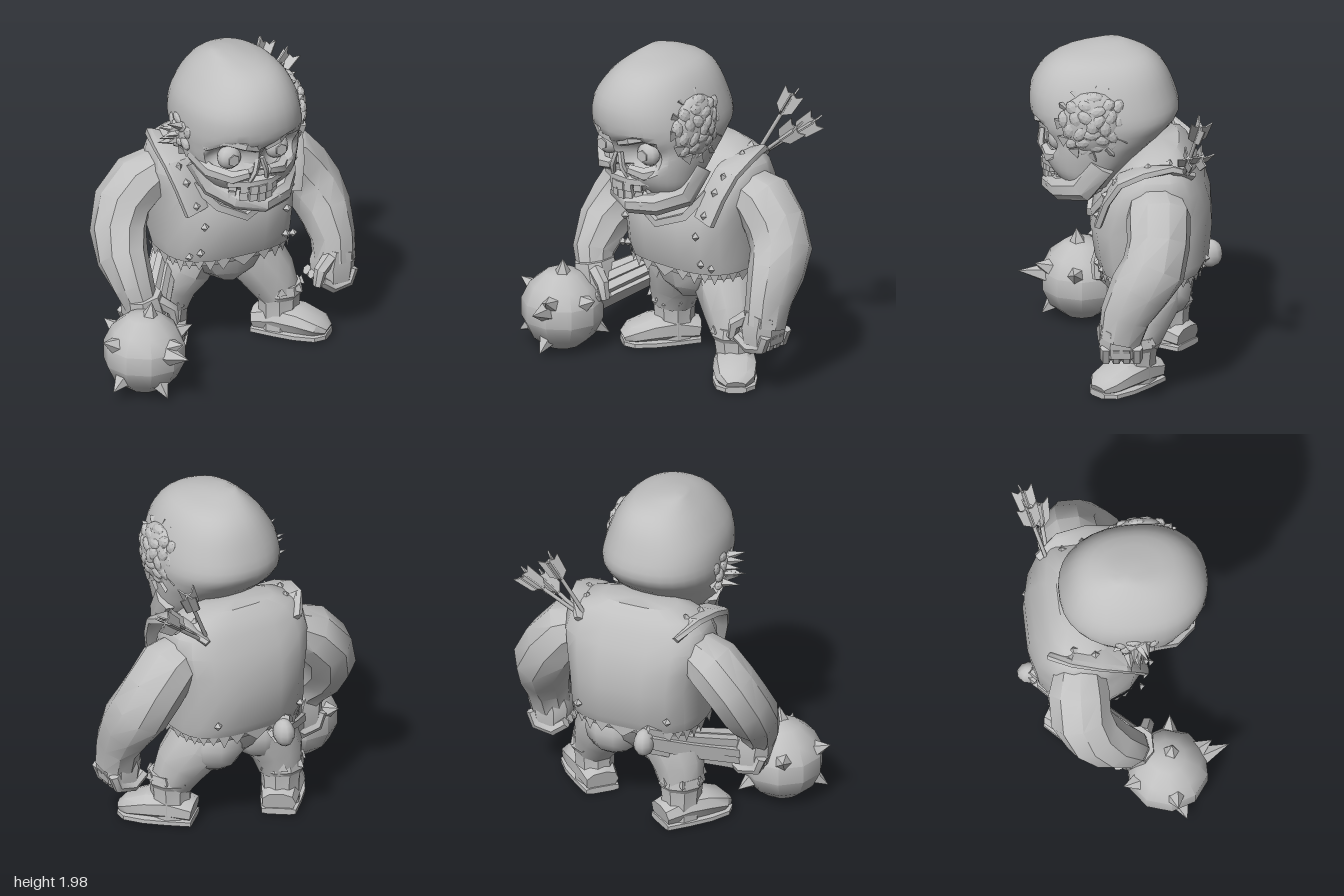
import * as THREE from 'three';
import { toCreasedNormals } from 'three/addons/utils/BufferGeometryUtils.js';

const V = (x, y, z) => new THREE.Vector3(x, y, z);
const UP = V(0, 1, 0);
const grey = new THREE.MeshStandardMaterial({ color: 0xc0c0c0, side: THREE.DoubleSide });
grey.name = 'clay grey';

let seed = 7;
const rnd = () => (seed = (seed * 16807) % 2147483647) / 2147483647;

// Closed skin over cross-sections [x, y, z, halfWidth, halfDepth]
function loft(rows, { sides = 9, ref = V(0, 0, 1), axis = null, pow = 1, warp = null, crease = 0.65 } = {}) {
  const pos = [], idx = [], n = rows.length;
  const c = rows.map(r => V(r[0], r[1], r[2]));
  const bend = s => Math.sign(s) * Math.abs(s) ** pow;
  rows.forEach((r, i) => {
    const t = axis || c[Math.min(i + 1, n - 1)].clone().sub(c[Math.max(i - 1, 0)]).normalize();
    const v = ref.clone().addScaledVector(t, -ref.dot(t)).normalize();
    const u = v.clone().cross(t);
    for (let j = 0; j < sides; j++) {
      const a = (j + 0.5) / sides * Math.PI * 2;
      const p = c[i].clone().addScaledVector(u, r[3] * bend(Math.cos(a))).addScaledVector(v, r[4] * bend(Math.sin(a)));
      if (warp) warp(p);
      pos.push(p.x, p.y, p.z);
    }
  });
  pos.push(...c[0].toArray(), ...c[n - 1].toArray());
  for (let j = 0; j < sides; j++) {
    const k = (j + 1) % sides, e = (n - 1) * sides;
    for (let i = 0; i < n - 1; i++) {
      const a = i * sides + j, b = i * sides + k;
      idx.push(a, b, b + sides, a, b + sides, a + sides);
    }
    idx.push(n * sides, k, j, n * sides + 1, e + j, e + k);
  }
  const g = new THREE.BufferGeometry();
  g.setAttribute('position', new THREE.Float32BufferAttribute(pos, 3));
  g.setIndex(idx);
  return toCreasedNormals(g, crease);
}

// Rows [y, x0, x1, zBack, zFront] to horizontal cross-sections
const slabs = rows => rows.map(([y, x0, x1, z0, z1]) => [(x0 + x1) / 2, y, (z0 + z1) / 2, (x1 - x0) / 2, (z1 - z0) / 2]);
// Resample rows along smooth splines
function resample(rows, n) {
  const curves = rows[0].map((_, k) => new THREE.SplineCurve(rows.map((r, i) => new THREE.Vector2(i, r[k]))));
  return Array.from({ length: n }, (_, i) => curves.map(s => s.getPoint(i / (n - 1)).y));
}

export function createModel() {
  const model = new THREE.Group();
  const add = (name, geo, parent = model) => {
    const m = new THREE.Mesh(geo, grey);
    m.name = name;
    parent.add(m);
    return m;
  };
  const group = name => { const g = new THREE.Group(); g.name = name; model.add(g); return g; };
  const blob = (name, x, y, z, sx, sy, sz, parent) => {
    const m = add(name, new THREE.SphereGeometry(1, 10, 8), parent);
    m.position.set(x, y, z); m.scale.set(sx, sy, sz);
  };
  // Cone with its base at p, pointing along d
  const spike = (name, p, d, r, h, parent, sides = 5) => {
    const g = new THREE.ConeGeometry(r, h, sides).translate(0, h / 2, 0).toNonIndexed();
    g.computeVertexNormals();
    const m = add(name, g, parent);
    m.position.copy(p);
    m.quaternion.setFromUnitVectors(UP, d.clone().normalize());
  };

  // Skull with carved sockets and nose hole
  const head = group('head');
  const skullRows = [
    [1.18, -0.12, 0.32, 0.04, 0.33], [1.26, -0.18, 0.36, -0.02, 0.4], [1.33, -0.23, 0.38, -0.1, 0.44],
    [1.42, -0.27, 0.4, -0.18, 0.46], [1.5, -0.29, 0.41, -0.27, 0.48], [1.6, -0.3, 0.42, -0.34, 0.52],
    [1.74, -0.28, 0.39, -0.31, 0.52], [1.87, -0.2, 0.33, -0.25, 0.45], [1.95, -0.12, 0.24, -0.16, 0.33], [1.995, -0.06, 0.06, -0.02, 0.12]];
  const dents = [[-0.13, 1.46, 0.12, 0.13], [0.18, 1.46, 0.13, 0.13], [0.04, 1.33, 0.06, 0.09]];
  add('skull', loft(slabs(resample(skullRows, 28)), {
    sides: 32, axis: UP, pow: 0.88, crease: 0.8,
    warp: p => {
      if (p.z > 0.2) for (const [x, y, r, depth] of dents) p.z -= depth * Math.max(0, 1 - ((p.x - x) ** 2 + (p.y - y) ** 2) / (r * r));
    }
  }), head);
  for (const s of [-1, 1]) {
    const X = d => 0.035 + s * d;
    blob(s < 0 ? 'rightEye' : 'leftEye', X(0.155), 1.46, 0.36, 0.075, 0.072, 0.06, head);
    const iris = add('iris', new THREE.CylinderGeometry(0.036, 0.036, 0.009, 6).rotateX(Math.PI / 2), head);
    iris.position.set(X(0.155), 1.46, 0.421);
    add('brow', loft([[X(0.02), 1.53, 0.46, 0.03, 0.03], [X(0.1), 1.565, 0.465, 0.04, 0.035], [X(0.2), 1.59, 0.4, 0.035, 0.03], [X(0.28), 1.53, 0.29, 0.02, 0.03]], { sides: 6, ref: UP }), head);
    add('cheekbone', loft([[X(0.06), 1.36, 0.43, 0.03, 0.03], [X(0.15), 1.34, 0.4, 0.045, 0.04], [X(0.25), 1.37, 0.3, 0.04, 0.045], [X(0.29), 1.43, 0.15, 0.03, 0.04]], { sides: 6, ref: UP }), head);
    add('noseBone', loft([[X(0.012), 1.46, 0.45, 0.015, 0.02], [X(0.035), 1.38, 0.46, 0.016, 0.022], [X(0.055), 1.31, 0.43, 0.012, 0.015]], { sides: 5 }), head);
  }
  const jaw = [[-0.19, 1.36, 0.12, 0.06, 0.09], [-0.13, 1.22, 0.2, 0.07, 0.09], [-0.05, 1.165, 0.34, 0.06, 0.065], [0.09, 1.14, 0.4, 0.06, 0.06],
    [0.23, 1.155, 0.35, 0.06, 0.07], [0.32, 1.2, 0.22, 0.07, 0.09], [0.35, 1.36, 0.12, 0.06, 0.1]];
  add('jaw', loft(jaw, { sides: 8, ref: UP }), head);
  blob('chin', 0.12, 1.16, 0.25, 0.2, 0.075, 0.19, head);
  add('upperGum', loft([[-0.12, 1.285, 0.34, 0.04, 0.03], [0, 1.29, 0.41, 0.04, 0.035], [0.1, 1.29, 0.42, 0.04, 0.035], [0.23, 1.285, 0.34, 0.04, 0.03]], { sides: 6, ref: UP }), head);
  for (let i = 0; i < 7; i++) for (const [y, z] of [[1.25, 0.445], [1.2, 0.435]]) {
    const d = (i - 3) / 3;
    const tooth = add('tooth', new THREE.BoxGeometry(0.045, 0.04 + 0.015 * rnd(), 0.03), head);
    tooth.position.set(0.05 + d * 0.14, y + 0.008 * rnd(), z - 0.09 * d * d);
    tooth.rotation.set(0, d * 0.7, (rnd() - 0.5) * 0.2);
  }
  // Lumpy wounds: open brain on the left temple, torn ear on the right
  const wound = (g, s, x, y, z, r, count, lump) => {
    blob('woundBed', x - s * 0.06, y, z, 0.08, r, r, g);
    for (let i = 0; i < count; i++) {
      const a = i * 2.4, q = Math.sqrt(i / count) * r * 0.9;
      const m = add('fold', toCreasedNormals(new THREE.IcosahedronGeometry(lump, 1), 0.3), g);
      m.position.set(x - s * q * q * 2, y + Math.sin(a) * q, z + Math.cos(a) * q);
      m.rotation.set(a, 0, 0);
      m.scale.set(0.6, 1.1, 0.75);
    }
    for (let i = 0; i < 12; i++) {
      const a = i / 12 * Math.PI * 2, c = Math.cos(a), h = Math.sin(a);
      spike('tornEdge', V(x - s * (0.07 + 0.03 * h), y + h * r * 1.05, z + c * r * 1.05), V(s, -h * 0.9, -c * 0.9), 0.045, 0.06, g, 3);
    }
  };
  wound(group('brain'), 1, 0.425, 1.62, 0.16, 0.19, 24, 0.055);
  const ear = group('tornEar');
  wound(ear, -1, -0.3, 1.54, 0.08, 0.12, 10, 0.045);
  for (let i = 0; i < 7; i++)
    spike('earShred', V(-0.31, 1.47 + 0.022 * i, 0.02 + 0.12 * rnd()), V(-1, (rnd() - 0.2) * 0.9, rnd() - 0.5), 0.028, 0.08 + 0.05 * rnd(), ear, 4);

  // Neck, vest and pelvis
  add('neck', loft([[0.1, 1.12, -0.18, 0.24, 0.2], [0.09, 1.28, -0.06, 0.2, 0.17], [0.07, 1.42, 0.06, 0.17, 0.15]], { sides: 10 }));
  add('vest', loft(slabs([[0.64, -0.28, 0.49, -0.46, 0.11], [0.74, -0.3, 0.5, -0.515, 0.15], [0.94, -0.3, 0.51, -0.535, 0.18], [1.08, -0.32, 0.53, -0.525, 0.14],
    [1.2, -0.34, 0.55, -0.49, 0.08], [1.3, -0.32, 0.53, -0.44, 0.01], [1.37, -0.26, 0.46, -0.4, -0.05], [1.42, -0.13, 0.33, -0.34, -0.13]]), { sides: 16, axis: UP, pow: 0.68 }));
  const hem = [], hemN = 30;
  const hemPoint = (i, y, k) => {
    const a = i / hemN * Math.PI * 2, f = s => Math.sign(s) * Math.abs(s) ** 0.68;
    return [0.105 + 0.395 * k * f(Math.cos(a)), y, -0.175 + 0.305 * k * f(Math.sin(a))];
  };
  for (let i = 0; i < hemN; i++)
    hem.push(...hemPoint(i, 0.68, 1.01), ...hemPoint(i + 1, 0.68, 1.01), ...hemPoint(i + 0.5, 0.6 + 0.03 * rnd(), 0.99));
  const hemGeo = new THREE.BufferGeometry();
  hemGeo.setAttribute('position', new THREE.Float32BufferAttribute(hem, 3));
  hemGeo.computeVertexNormals();
  add('raggedHem', hemGeo);
  add('collar', loft([[-0.2, 1.18, 0.07, 0.02, 0.03], [-0.08, 1.04, 0.155, 0.02, 0.03], [0.09, 0.95, 0.18, 0.02, 0.03], [0.28, 1.03, 0.155, 0.02, 0.03], [0.38, 1.18, 0.07, 0.02, 0.03]], { sides: 4, ref: UP }));
  for (const s of [-1, 1]) {
    const X = d => 0.1 + s * d;
    const rows = [[X(0.3), 1.02, 0.12, 0.08, 0.025], [X(0.34), 1.18, 0.07, 0.085, 0.025], [X(0.37), 1.3, 0, 0.085, 0.025], [X(0.36), 1.35, -0.13, 0.09, 0.025], [X(0.34), 1.36, -0.28, 0.08, 0.025], [X(0.29), 1.28, -0.4, 0.06, 0.02]];
    add(s < 0 ? 'rightStrap' : 'leftStrap', loft(rows, { sides: 8, pow: 0.5, ref: V(0, 0.7, 0.7) }));
    for (const [x, y, z, dy, dz] of [[0.31, 1.06, 0.13, 0.2, 1], [0.35, 1.2, 0.085, 0.4, 1], [0.37, 1.29, 0.025, 0.7, 0.7], [0.35, 1.37, -0.16, 1, 0], [0.31, 1.38, -0.28, 1, -0.3], [0.27, 0.93, 0.16, 0, 1], [0.34, 0.73, 0.1, 0, 1], [0.28, 0.75, 0.125, 0, 1], [0.28, 0.78, -0.49, 0, -1]])
      spike('stud', V(X(x), y, z), V(0, dy, dz), 0.028, 0.03, model, 4);
    blob('buttock', X(0.15), 0.55, -0.25, 0.18, 0.18, 0.17);
  }
  add('pelvis', loft(slabs([[0.45, 0.03, 0.2, -0.3, -0.02], [0.52, -0.1, 0.32, -0.38, 0.04], [0.66, -0.25, 0.46, -0.44, 0.07]]), { sides: 10, axis: UP }));

  // Arms
  add('leftArm', loft([[0.42, 1.17, -0.2, 0.12, 0.15], [0.55, 1.11, -0.22, 0.17, 0.19], [0.65, 0.98, -0.22, 0.18, 0.185], [0.725, 0.85, -0.19, 0.175, 0.19],
    [0.755, 0.73, -0.11, 0.16, 0.18], [0.77, 0.58, -0.03, 0.13, 0.15], [0.765, 0.44, 0, 0.125, 0.13]]));
  add('rightArm', loft([[-0.23, 1.18, -0.25, 0.12, 0.14], [-0.37, 1.1, -0.27, 0.165, 0.18], [-0.48, 0.98, -0.27, 0.165, 0.18], [-0.54, 0.84, -0.21, 0.165, 0.17],
    [-0.565, 0.71, -0.11, 0.15, 0.16], [-0.55, 0.57, 0, 0.12, 0.13], [-0.52, 0.46, 0.03, 0.1, 0.1]]));
  const hand = (name, x, y, z, s) => {
    const g = group(name);
    add('palm', loft([[x + s * 0.02, y + 0.1, z, 0.11, 0.12], [x, y, z, 0.125, 0.13], [x, y - 0.09, z, 0.11, 0.12]], { sides: 8, pow: 0.8 }), g);
    for (let i = 0; i < 4; i++) {
      const f = z - 0.095 + i * 0.06;
      add('finger', loft([[x + s * 0.09, y - 0.02, f, 0.035, 0.035], [x + s * 0.06, y - 0.1, f, 0.038, 0.034], [x - s * 0.04, y - 0.12, f, 0.036, 0.033], [x - s * 0.12, y - 0.06, f + 0.01, 0.032, 0.032]], { sides: 6 }), g);
    }
    add('thumb', loft([[x - s * 0.05, y + 0.07, z + 0.07, 0.045, 0.045], [x - s * 0.13, y + 0.01, z + 0.1, 0.04, 0.04], [x - s * 0.15, y - 0.08, z + 0.1, 0.025, 0.03]], { sides: 6 }), g);
  };
  hand('leftHand', 0.75, 0.43, 0, 1);
  hand('rightHand', -0.5, 0.43, 0.03, -1);

  // Legs and boots
  const leg = (side, rows, yaw) => {
    add(side + 'Leg', loft(rows, { sides: 10 }));
    const [x, , z] = rows[rows.length - 1];
    const boot = group(side + 'Boot');
    boot.position.set(x, 0, z);
    boot.rotation.y = yaw;
    add('shaft', loft([[0, 0.06, 0, 0.115, 0.125], [0, 0.2, 0, 0.115, 0.12], [0, 0.3, 0, 0.13, 0.13]], { sides: 9 }), boot);
    add('cuff', loft([[0, 0.25, 0, 0.12, 0.12], [0, 0.285, 0, 0.14, 0.14], [0, 0.34, 0, 0.13, 0.13]], { sides: 9 }), boot);
    const foot = [[0, 0.1, -0.14, 0.1, 0.065], [0, 0.125, 0, 0.12, 0.09], [0, 0.12, 0.13, 0.13, 0.08], [0, 0.095, 0.25, 0.115, 0.055], [0, 0.07, 0.3, 0.06, 0.03]];
    add('foot', loft(foot, { ref: UP, pow: 0.85 }), boot);
    add('sole', loft(foot.map(r => [0, 0.045, r[2] * 1.02, r[3] * 1.04, 0.02]), { ref: UP, sides: 8, pow: 0.5 }), boot);
    for (let i = 0; i < 7; i++) {
      const a = i * 0.9;
      spike('cuffTear', V(Math.cos(a) * 0.125, 0.31, Math.sin(a) * 0.125), V(Math.cos(a) * 0.3, 1, Math.sin(a) * 0.3), 0.035, 0.045, boot, 3);
    }
  };
  leg('left', [[0.25, 0.66, -0.2, 0.17, 0.19], [0.32, 0.52, -0.17, 0.18, 0.19], [0.4, 0.39, -0.12, 0.16, 0.16], [0.45, 0.27, -0.09, 0.125, 0.13]], 0.75);
  leg('right', [[-0.03, 0.66, -0.22, 0.17, 0.19], [-0.1, 0.52, -0.24, 0.18, 0.19], [-0.16, 0.39, -0.27, 0.155, 0.155], [-0.18, 0.27, -0.28, 0.13, 0.13]], -0.65);

  // Spiked mace, its splintered handle running behind the hips
  const mace = group('mace');
  const centre = V(-0.6, 0.265, 0.22);
  add('maceHead', toCreasedNormals(new THREE.SphereGeometry(0.245, 10, 7), 0.7), mace).position.copy(centre);
  for (const d of [[-0.9, 0.4, 0.1], [-0.85, -0.6, 0.3], [0.25, 0.2, 1], [0.1, -0.75, 0.8], [0.1, 1, 0.1], [0.95, 0.4, 0.15], [0.3, 0.35, 0.75], [-0.4, 0.4, -0.9], [0.6, -0.5, -0.6]]) {
    const dir = V(...d).normalize();
    spike('maceSpike', centre.clone().addScaledVector(dir, 0.2), dir, 0.065, dir.z > 0.9 ? 0.19 : 0.12, mace);
  }
  const end = V(-0.04, 0.645, -0.49);
  for (let i = 0; i < 9; i++) {
    const a = i / 9 * Math.PI * 2, oy = Math.cos(a) * 0.07, ox = Math.sin(a) * 0.035, k = 0.025 * rnd();
    const rows = [0, 0.35, 0.7, 1].map((t, j) => {
      const p = centre.clone().lerp(end, t), w = 1.25 - 0.3 * t;
      return [p.x + ox * w, p.y + oy * w + (j % 2) * k, p.z + ox * w, 0.034 * w, 0.034 * w];
    });
    add('handleSplint', loft(rows, { sides: 5, ref: UP, crease: 0.3 }), mace);
  }
  blob('pommel', -0.05, 0.635, -0.52, 0.06, 0.085, 0.075, mace);

  // Arrows stuck in the left shoulder blade
  for (const [x, y, z] of [[0.56, 1.66, -0.46], [0.71, 1.54, -0.47], [0.64, 1.5, -0.39]]) {
    const arrow = group('arrow'), base = V(0.36, 1.26, -0.36), d = V(x, y, z).sub(base), len = d.length();
    arrow.position.copy(base);
    arrow.quaternion.setFromUnitVectors(UP, d.normalize());
    add('arrowShaft', new THREE.CylinderGeometry(0.012, 0.012, len, 6).translate(0, len / 2, 0), arrow);
    const vane = new THREE.Shape([[0, 0], [0.055, 0.05], [0.065, 0.18], [0.03, 0.15], [0, 0.16]].map(p => new THREE.Vector2(...p)));
    for (let i = 0; i < 4; i++) {
      const m = add('fletching', new THREE.ExtrudeGeometry(vane, { depth: 0.009, bevelEnabled: false }), arrow);
      m.position.y = len - 0.13;
      m.rotation.y = i * Math.PI / 2 + 0.4;
    }
  }
  return model;
}
